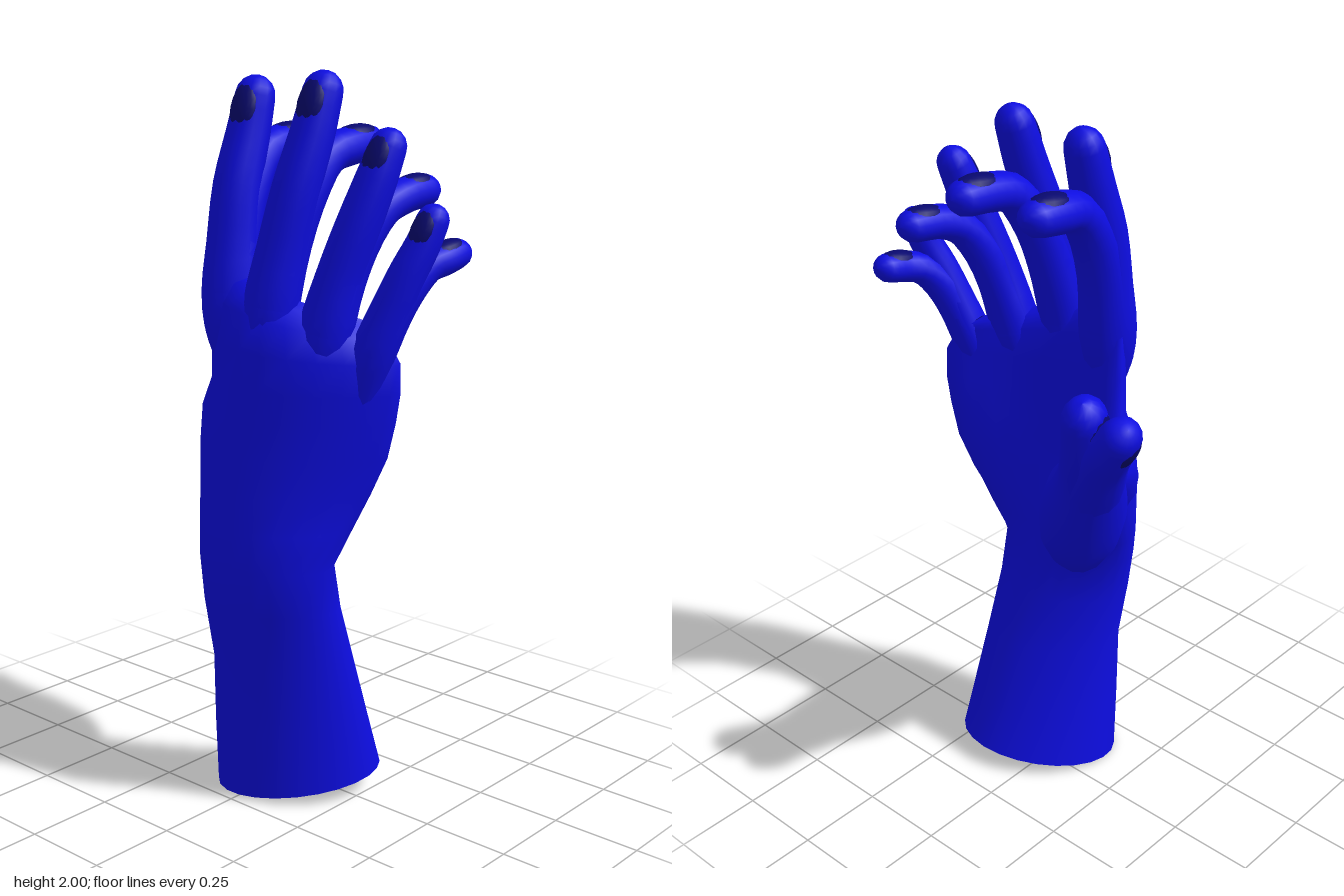
import * as THREE from 'three';

const V = (x, y, z) => new THREE.Vector3(x, y, z);
const skin = new THREE.MeshStandardMaterial({ color: 0x0d0de0, side: THREE.DoubleSide });
const nailMat = new THREE.MeshStandardMaterial({ color: 0x08086e });

// Joins closed rings of equal length into a smooth skin
function loft(name, rings) {
  const n = rings[0].length, pos = [], idx = [];
  rings.forEach(ring => ring.forEach(p => pos.push(p.x, p.y, p.z)));
  for (let i = 0; i < rings.length - 1; i++) {
    for (let j = 0; j < n; j++) {
      const k = (j + 1) % n, a = i * n + j, b = i * n + k;
      idx.push(a, a + n, b, b, a + n, b + n);
    }
  }
  const geo = new THREE.BufferGeometry();
  geo.setAttribute('position', new THREE.Float32BufferAttribute(pos, 3));
  geo.setIndex(idx);
  geo.computeVertexNormals();
  const mesh = new THREE.Mesh(geo, skin);
  mesh.name = name;
  return mesh;
}

// Forearm (open at the cut end) and palm
// Sections: y, centre x, centre z, half depth, half width, bow, tilt, slope
function armAndPalm() {
  const sections = [
    [0.035, -0.03, 0.06, 0.184, 0.21, 0, 0.06, 0],
    [0.2, -0.06, 0.062, 0.168, 0.197, 0, 0.06, 0],
    [0.4, -0.095, 0.06, 0.149, 0.185, 0, 0.045, 0],
    [0.57, -0.132, 0.05, 0.14, 0.192, 0, 0.03, 0],
    [0.7, -0.147, 0.043, 0.137, 0.205, 0, 0.012, 0],
    [0.8, -0.147, 0.037, 0.132, 0.238, 0.05, 0.015, 0],
    [0.9, -0.15, 0.045, 0.122, 0.265, 0.085, 0.025, 0],
    [1.0, -0.153, 0.058, 0.108, 0.29, 0.105, 0.035, 0],
    [1.1, -0.155, 0.073, 0.098, 0.298, 0.11, 0.04, 0],
    [1.18, -0.155, 0.098, 0.091, 0.284, 0.11, 0.045, 0],
    [1.28, -0.157, 0.107, 0.083, 0.279, 0.1, 0.05, 0.02],
    [1.37, -0.156, 0.095, 0.068, 0.257, 0.09, 0.05, 0.05],
    [1.42, -0.15, 0.08, 0.036, 0.225, 0.08, 0.05, 0.07],
  ];
  const rings = sections.map(([y, cx, cz, rx, rz, bow, tilt, slope], i) =>
    Array.from({ length: 24 }, (_, j) => {
      const a = j / 24 * Math.PI * 2, u = Math.sin(a), c = Math.cos(a);
      // the cut end of the forearm is slanted
      const cut = i === 0 ? 0.022 * c + 0.024 * u : 0;
      return V(cx + rx * c + bow * u * u + tilt * u, y + cut - slope * u, cz + rz * u);
    }));
  // close the top of the palm between the fingers along its middle line
  const [y, cx, cz, , rz, bow, tilt, slope] = sections[sections.length - 1];
  rings.push(rings[0].map((_, j) => {
    const u = 0.9 * Math.sin(j / 24 * Math.PI * 2);
    return V(cx + bow * u * u + tilt * u, y + 0.015 - slope * u, cz + rz * u);
  }));
  return loft('forearmAndPalm', rings);
}

// Direction, width and depth axes of a path at t
function frameAt(path, t, side) {
  const T = path.getTangent(t);
  const W = side.clone().addScaledVector(T, -side.dot(T)).normalize();
  return { T, W, N: T.clone().cross(W) };
}

// Fleshy tube along points [x, y, z, radius] with a round end
function limb(name, points, side, steps = 18) {
  const path = new THREE.CatmullRomCurve3(points.map(p => V(p[0], p[1], p[2])));
  const radius = new THREE.CatmullRomCurve3(points.map((p, i) => V(p[3], i, 0)));
  const ringAt = (c, f, r) => Array.from({ length: 14 }, (_, j) => {
    const a = j / 14 * Math.PI * 2;
    return c.clone().addScaledVector(f.N, 0.92 * r * Math.cos(a)).addScaledVector(f.W, r * Math.sin(a));
  });
  const rings = [];
  for (let i = 0; i <= steps; i++) {
    const t = i / steps;
    rings.push(ringAt(path.getPoint(t), frameAt(path, t, side), radius.getPoint(t).x));
  }
  const end = path.getPoint(1), f = frameAt(path, 1, side), r = points[points.length - 1][3];
  for (let k = 1; k <= 4; k++) {
    const a = k / 4 * Math.PI / 2;
    rings.push(ringAt(end.clone().addScaledVector(f.T, r * Math.sin(a)), f, r * Math.cos(a)));
  }
  return { mesh: loft(name, rings), end, f, r };
}

// A limb with a nail set into the back of its tip
function finger(name, points, side = V(0, 0, 1)) {
  const { mesh, end, f, r } = limb('flesh', points, side);
  const group = new THREE.Group();
  group.name = name;
  const back = f.N.clone().negate();
  const nail = new THREE.Mesh(new THREE.SphereGeometry(1, 16, 10), nailMat);
  nail.name = 'nail';
  nail.quaternion.setFromRotationMatrix(new THREE.Matrix4().makeBasis(f.T, back, f.W));
  nail.scale.set(r * 1.4, r * 0.53, r * 0.8);
  nail.position.copy(end).addScaledVector(f.T, -0.75 * r).addScaledVector(back, r * 0.52);
  group.add(mesh, nail);
  return group;
}

export function createModel() {
  const hand = new THREE.Group();
  hand.name = 'hand';
  hand.add(armAndPalm());

  // Each finger has one root, buried in the palm, with a straight and a curled end
  const fingers = {
    index: {
      root: [[-0.155, 1.2, -0.07, 0.03], [-0.15, 1.31, -0.083, 0.068], [-0.142, 1.42, -0.088, 0.081]],
      straight: [[-0.13, 1.55, -0.09, 0.073], [-0.11, 1.7, -0.09, 0.068], [-0.074, 1.83, -0.085, 0.062], [-0.05, 1.93, -0.08, 0.056]],
      curled: [[-0.12, 1.56, -0.09, 0.072], [-0.075, 1.69, -0.09, 0.066], [0, 1.782, -0.095, 0.058], [0.08, 1.8, -0.1, 0.058], [0.142, 1.806, -0.1, 0.054]],
    },
    middle: {
      root: [[-0.16, 1.16, 0.055, 0.03], [-0.163, 1.28, 0.065, 0.066], [-0.158, 1.4, 0.075, 0.077]],
      straight: [[-0.14, 1.54, 0.095, 0.07], [-0.112, 1.7, 0.12, 0.066], [-0.072, 1.84, 0.14, 0.061], [-0.043, 1.945, 0.15, 0.055]],
      curled: [[-0.125, 1.55, 0.095, 0.069], [-0.075, 1.685, 0.115, 0.064], [0, 1.778, 0.125, 0.057], [0.08, 1.8, 0.13, 0.056], [0.157, 1.806, 0.132, 0.053]],
    },
    ring: {
      root: [[-0.125, 1.12, 0.18, 0.025], [-0.12, 1.23, 0.2, 0.056], [-0.11, 1.34, 0.22, 0.074]],
      straight: [[-0.092, 1.48, 0.25, 0.064], [-0.062, 1.61, 0.285, 0.061], [-0.027, 1.73, 0.315, 0.056], [0, 1.81, 0.33, 0.05]],
      curled: [[-0.08, 1.47, 0.25, 0.063], [-0.04, 1.575, 0.275, 0.058], [0.02, 1.65, 0.295, 0.053], [0.09, 1.68, 0.307, 0.051], [0.172, 1.69, 0.312, 0.048]],
    },
    little: {
      root: [[-0.08, 1.08, 0.28, 0.02], [-0.066, 1.19, 0.31, 0.042], [-0.053, 1.29, 0.333, 0.06]],
      straight: [[-0.03, 1.4, 0.37, 0.056], [-0.005, 1.5, 0.405, 0.051], [0.02, 1.57, 0.43, 0.047], [0.04, 1.63, 0.445, 0.044]],
      curled: [[-0.025, 1.39, 0.37, 0.054], [0.01, 1.46, 0.395, 0.051], [0.06, 1.51, 0.415, 0.047], [0.11, 1.525, 0.43, 0.046], [0.158, 1.535, 0.432, 0.044]],
    },
  };
  for (const [name, { root, straight, curled }] of Object.entries(fingers)) {
    hand.add(finger(name + 'FingerStraight', [...root, ...straight]));
    hand.add(finger(name + 'FingerCurled', [...root, ...curled]));
  }

  // Thumb with its fleshy base, a second end bent outward, and the web towards the index finger
  const across = V(-0.8, 0.35, 0.1);
  hand.add(finger('thumbStraight', [
    [-0.14, 0.64, -0.01, 0.04], [-0.09, 0.74, -0.05, 0.09], [-0.028, 0.86, -0.103, 0.126],
    [0.035, 1.0, -0.168, 0.124], [0.105, 1.13, -0.245, 0.094], [0.172, 1.25, -0.292, 0.076],
    [0.22, 1.363, -0.32, 0.063],
  ], across));
  hand.add(finger('thumbBent', [
    [0.035, 1.0, -0.175, 0.1], [0.108, 1.13, -0.262, 0.09], [0.157, 1.22, -0.325, 0.078],
    [0.192, 1.29, -0.382, 0.069], [0.213, 1.345, -0.43, 0.058],
  ], across));
  hand.add(limb('thumbWeb', [
    [-0.14, 0.84, -0.06, 0.05], [-0.09, 0.97, -0.13, 0.096], [-0.025, 1.065, -0.185, 0.095],
    [0.07, 1.12, -0.23, 0.08],
  ], V(0, 1, 0)).mesh);
  return hand;
}
